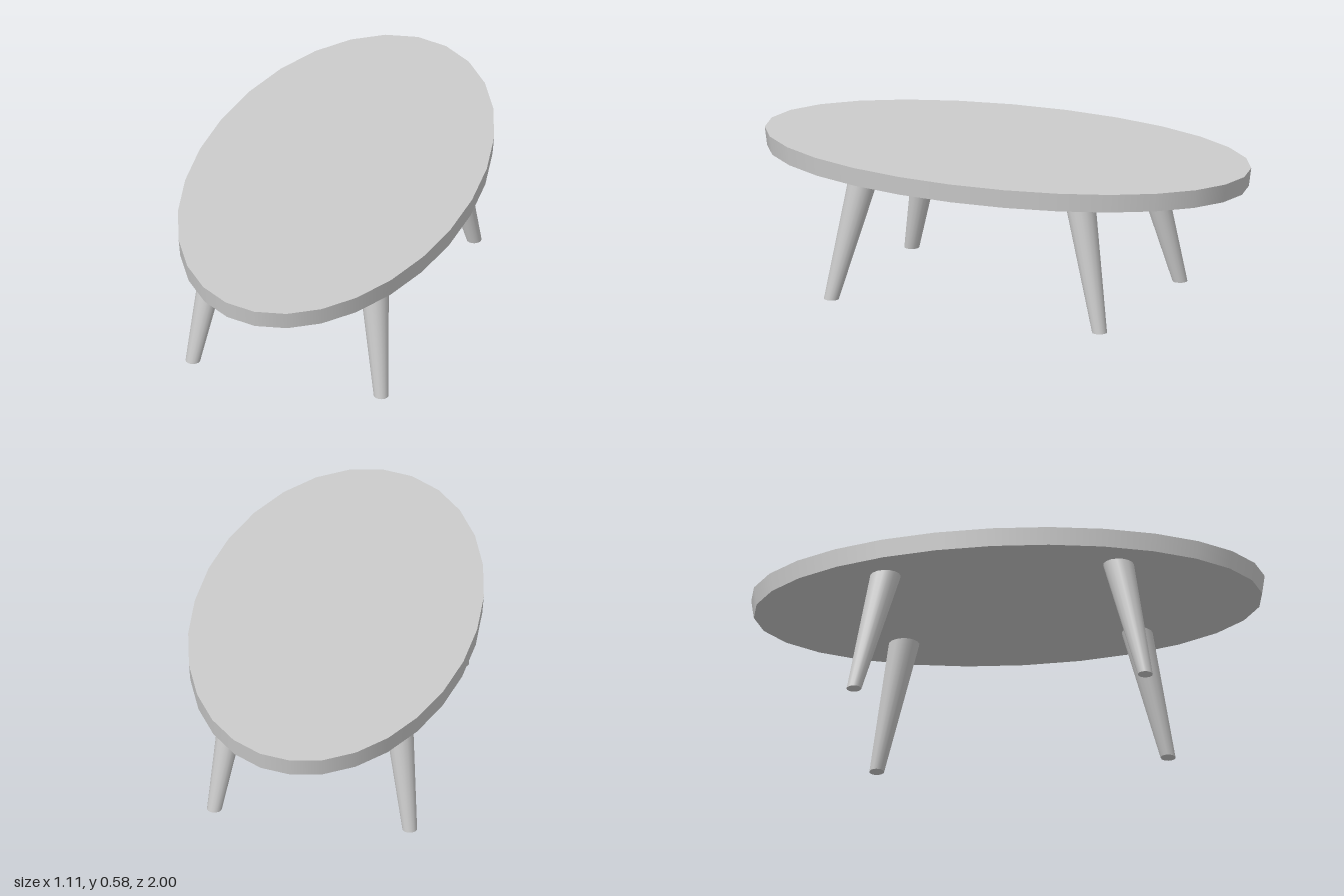
import * as THREE from 'three';

const material = new THREE.MeshStandardMaterial({ color: 0xcccccc });
const TOP_Y = 0.578, UNDER_Y = 0.505;

// Tapered leg sheared from its foot to its top, so both ends stay level
function makeLeg(name, foot, top) {
  const h = UNDER_Y + 0.003;
  const geometry = new THREE.CylinderGeometry(0.06, 0.029, h, 16);
  geometry.translate(0, h / 2, 0);
  geometry.applyMatrix4(new THREE.Matrix4().set(
    1, (top[0] - foot[0]) / h, 0, foot[0],
    0, 1, 0, 0,
    0, (top[1] - foot[1]) / h, 1, foot[1],
    0, 0, 0, 1));
  const leg = new THREE.Mesh(geometry, material);
  leg.name = name;
  return leg;
}

export function createModel() {
  const table = new THREE.Group();
  table.name = 'ovalTable';

  // Oval slab with a slightly tapered rim
  const slab = new THREE.CylinderGeometry(1, 0.99, TOP_Y - UNDER_Y, 28);
  slab.scale(0.555, 1, 1);
  slab.translate(0, (TOP_Y + UNDER_Y) / 2, 0);
  const tabletop = new THREE.Mesh(slab, material);
  tabletop.name = 'tabletop';
  table.add(tabletop);

  // Four legs splayed outwards
  for (const [side, footX, topX] of [['Left', 0.378, 0.308], ['Right', -0.39, -0.32]]) {
    table.add(makeLeg('front' + side + 'Leg', [footX, 0.58], [topX, 0.467]));
    table.add(makeLeg('back' + side + 'Leg', [footX, -0.555], [topX, -0.44]));
  }
  return table;
}
